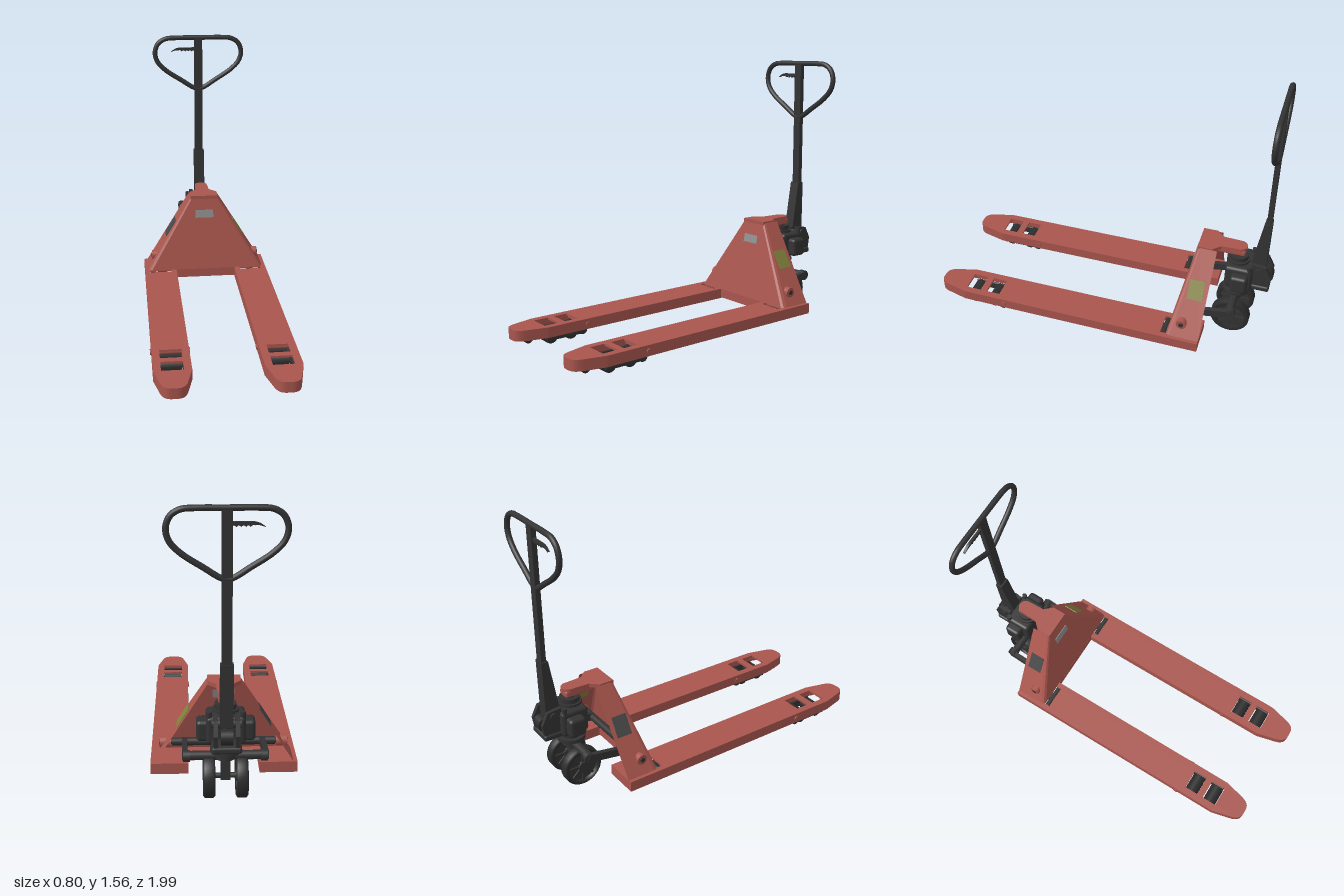
import * as THREE from 'three';
import { RoundedBoxGeometry } from 'three/addons/geometries/RoundedBoxGeometry.js';

export function createModel() {
  const root = new THREE.Group();
  const mat = (name, color, side = THREE.FrontSide) => {
    const m = new THREE.MeshStandardMaterial({ color, side });
    m.name = name;
    return m;
  };
  const red = mat('redPaint', 0xa8554d, THREE.DoubleSide);
  const black = mat('blackSteel', 0x333333);
  const rubber = mat('wheelBlack', 0x2c2c2c);
  const grey = mat('greyLabel', 0x8c8c8c);
  const olive = mat('oliveLabel', 0x80803c);
  const slate = mat('slateLabel', 0x474747);

  const add = (name, geo, m, x = 0, y = 0, z = 0, parent = root) => {
    const mesh = new THREE.Mesh(geo, m);
    mesh.name = name;
    mesh.position.set(x, y, z);
    parent.add(mesh);
    return mesh;
  };
  const box = (w, h, d) => new THREE.BoxGeometry(w, h, d);
  const cyl = (r, h, r2 = r) => new THREE.CylinderGeometry(r, r2, h, 24);
  const axle = (r, len) => cyl(r, len).rotateZ(Math.PI / 2);
  // bar of rectangular section between two points of the same x
  const bar = (name, x, y0, z0, y1, z1, w, h, m) => {
    const b = add(name, box(w, h, Math.hypot(y1 - y0, z1 - z0)), m, x, (y0 + y1) / 2, (z0 + z1) / 2);
    b.rotation.x = -Math.atan2(y1 - y0, z1 - z0);
    return b;
  };
  // horizontal plate: shape y becomes z, hangs down from its top
  const plate = (shape, depth) =>
    new THREE.ExtrudeGeometry(shape, { depth, bevelEnabled: false, curveSegments: 12 }).rotateX(Math.PI / 2);
  // side profile given as [z, y] pairs, extruded along x and centred
  const profile = (pts, width) =>
    new THREE.ExtrudeGeometry(new THREE.Shape(pts.map(([z, y]) => new THREE.Vector2(-z, y))),
      { depth: width, bevelEnabled: false }).translate(0, 0, -width / 2).rotateY(Math.PI / 2);

  // Forks: open channels with a tapered rounded tip
  const outline = (C, i) => {
    const s = new C(), w = 0.102 - i, t = 0.997 - i;
    s.moveTo(-w, -0.645 + i);
    s.lineTo(w, -0.645 + i);
    s.lineTo(w, 0.82);
    s.lineTo(0.073 - i, 0.935);
    s.bezierCurveTo(0.058 - i, t, 0.03, t, 0, t);
    s.bezierCurveTo(-0.03, t, -0.058 + i, t, -0.073 + i, 0.935);
    s.lineTo(-w, 0.82);
    s.closePath();
    return s;
  };
  const slot = (w, z0, z1) => new THREE.Path([[-w, z0], [-w, z1], [w, z1], [w, z0]].map(p => new THREE.Vector2(...p)));
  const top = outline(THREE.Shape, 0);
  top.holes.push(slot(0.06, 0.605, 0.69), slot(0.06, 0.73, 0.82), slot(0.068, -0.452, -0.418));
  const wall = outline(THREE.Shape, 0);
  wall.holes.push(outline(THREE.Path, 0.01));
  const topGeo = plate(top, 0.012), wallGeo = plate(wall, 0.05);

  for (const s of [1, -1]) {
    const fork = new THREE.Group();
    fork.name = s > 0 ? 'leftFork' : 'rightFork';
    fork.position.x = s * 0.292;
    root.add(fork);
    const f = (n, g, m, x, y, z) => add(n, g, m, x, y, z, fork);
    f('forkTop', topGeo, red, 0, 0.119, 0);
    f('forkWalls', wallGeo, red, 0, 0.108, 0);
    f('pushRod', box(0.075, 0.028, 0.98), black, 0, 0.078, 0.07);
    f('crankPin', axle(0.016, 0.14), black, 0, 0.095, -0.435);
    f('crankArm', box(0.04, 0.045, 0.09), black, 0, 0.085, -0.44);
    f('pivotPin', axle(0.016, 0.218), red, 0, 0.085, 0.56);
    // Load rollers with their carrier
    for (const z of [0.645, 0.775]) {
      f('loadRoller', axle(0.041, 0.112), rubber, 0, 0.046, z);
      f('rollerPin', axle(0.014, 0.155), black, 0, 0.046, z);
    }
    for (const x of [-0.068, 0.068]) {
      f('rollerCarrier', new RoundedBoxGeometry(0.014, 0.05, 0.25, 2, 0.007), black, x, 0.052, 0.69);
      f('linkEar', axle(0.028, 0.018), black, x, 0.052, 0.58);
    }
    f('carrierBridge', box(0.12, 0.03, 0.1), black, 0, 0.06, 0.55);
    f('entryRoller', axle(0.026, 0.1), rubber, 0, 0.06, 0.915);
    f('entryPin', axle(0.012, 0.14), black, 0, 0.06, 0.915);
  }

  // Tower: cross-section lofted from base to top, open at the back
  const half = (w, zb, zf, r) => [[w, zb], [w, zf - r], [w - r * 0.3, zf - r * 0.3], [w - r, zf]];
  const ring = (w, zb, zf, r, y) => {
    const h = half(w, zb, zf, r);
    return [...h, ...h.map(([x, z]) => [-x, z]).reverse()].map(([x, z]) => [x, y, z]);
  };
  const lo = ring(0.375, -0.645, -0.45, 0.025, 0.115);
  const hi = ring(0.088, -0.665, -0.553, 0.015, 0.578);
  const verts = [];
  for (let i = 0; i < lo.length - 1; i++) {
    const a = lo[i], b = lo[i + 1], c = hi[i + 1], d = hi[i];
    verts.push(...a, ...c, ...b, ...a, ...d, ...c);
  }
  const shell = new THREE.BufferGeometry();
  shell.setAttribute('position', new THREE.Float32BufferAttribute(verts, 3));
  shell.computeVertexNormals();
  add('towerShell', shell, red);
  add('crossBeam', box(0.4, 0.055, 0.05), red, 0, 0.09, -0.475);

  // Tower cap running back into the lift arm
  const cap = new THREE.Shape();
  cap.moveTo(-0.088, -0.55);
  cap.lineTo(-0.088, -0.635);
  cap.lineTo(-0.045, -0.68);
  cap.lineTo(-0.04, -0.785);
  cap.absarc(0, -0.785, 0.04, Math.PI, Math.PI * 2, false);
  cap.lineTo(0.045, -0.68);
  cap.lineTo(0.088, -0.635);
  cap.lineTo(0.088, -0.55);
  add('towerCap', plate(cap, 0.022), red, 0, 0.586, 0);
  add('liftArm', new RoundedBoxGeometry(0.075, 0.04, 0.17, 2, 0.012), red, 0, 0.552, -0.735);

  // Labels lying on the slanted tower faces
  add('frontLabel', box(0.116, 0.05, 0.006), grey, 0, 0.471, -0.5275).rotation.x = -Math.atan(0.2225);
  for (const s of [1, -1]) {
    add('sideLabel', box(0.006, 0.118, 0.09), s > 0 ? olive : slate, s * 0.2175, 0.37, -0.585)
      .rotation.z = s * Math.atan(0.62);
    // Pivot bosses and the arms leading back to the wheel carriage
    add('pivotBoss', axle(0.03, 0.06), red, s * 0.315, 0.195, -0.535);
    add('pivotBolt', axle(0.014, 0.068), black, s * 0.315, 0.195, -0.535);
    bar('pullArm', s * 0.21, 0.195, -0.535, 0.238, -0.8, 0.028, 0.045, black);
    add('armEye', axle(0.03, 0.035), black, s * 0.2, 0.235, -0.79);
  }
  add('torqueShaft', axle(0.022, 0.56), black, 0, 0.195, -0.535);
  add('carriageBar', axle(0.024, 0.4), black, 0, 0.235, -0.785);

  // Steering wheels
  const tyre = new THREE.LatheGeometry([[0.088, -0.026], [0.105, -0.031], [0.115, -0.022], [0.115, 0.022],
    [0.105, 0.031], [0.088, 0.026], [0.088, -0.026]].map(p => new THREE.Vector2(...p)), 40).rotateZ(Math.PI / 2);
  for (const x of [-0.085, 0.085]) {
    const wheel = new THREE.Group();
    wheel.name = 'steerWheel';
    wheel.position.set(x, 0.116, -0.778);
    root.add(wheel);
    add('tyre', tyre, rubber, 0, 0, 0, wheel);
    add('wheelDisc', axle(0.09, 0.024), black, 0, 0, 0, wheel);
    add('hub', axle(0.03, 0.064), black, 0, 0, 0, wheel);
    for (let i = 0; i < 4; i++)
      add('spoke', box(0.044, 0.176, 0.012), black, 0, 0, 0, wheel).rotation.x = i * Math.PI / 4;
  }
  add('wheelAxle', axle(0.014, 0.2), black, 0, 0.116, -0.778);
  add('wheelFork', box(0.05, 0.13, 0.05), black, 0, 0.165, -0.778);
  add('turntable', cyl(0.08, 0.022), black, 0, 0.27, -0.785);
  add('turntableNeck', cyl(0.055, 0.12), black, 0, 0.285, -0.785);
  add('turntableRing', cyl(0.075, 0.015), black, 0, 0.308, -0.785);

  // Hydraulic pump
  add('pumpCylinder', cyl(0.068, 0.17), black, 0, 0.415, -0.782);
  add('pumpCollar', cyl(0.056, 0.03), black, 0, 0.512, -0.782);
  add('pumpRam', cyl(0.03, 0.06), black, 0, 0.52, -0.782);
  add('pumpBody', new RoundedBoxGeometry(0.2, 0.15, 0.16, 3, 0.02), black, 0, 0.41, -0.8);
  add('pumpSideTank', new RoundedBoxGeometry(0.3, 0.11, 0.1, 3, 0.02), black, 0, 0.4, -0.81);
  add('pumpBase', new RoundedBoxGeometry(0.15, 0.035, 0.24, 2, 0.012), black, 0, 0.35, -0.86);
  for (const s of [1, -1]) {
    add('handleBracket', profile([[-0.86, 0.34], [-0.97, 0.34], [-0.985, 0.43], [-0.95, 0.5], [-0.87, 0.51]], 0.022),
      black, s * 0.055, 0, 0);
    add('valve', cyl(0.014, 0.1), black, s * 0.085, 0.46, -0.86);
  }
  add('plunger', cyl(0.022, 0.12), black, 0, 0.41, -0.91);
  add('pumpRoller', axle(0.04, 0.06), rubber, 0, 0.415, -0.953);
  add('handlePivot', axle(0.022, 0.15), black, 0, 0.47, -0.915);

  // Drawbar and handle loop
  add('drawbarSleeve', profile([[-0.862, 0.5], [-0.945, 0.46], [-0.948, 0.79], [-0.908, 0.79]], 0.066), black);
  add('drawbar', box(0.052, 0.78, 0.028), black, 0, 1.16, -0.93);
  const side = [[0.02, 1.215], [0.115, 1.272], [0.215, 1.338], [0.268, 1.395], [0.283, 1.455],
    [0.262, 1.513], [0.215, 1.543], [0.15, 1.549]];
  const loop = [...side, [0, 1.549], ...side.map(([x, y]) => [-x, y]).reverse()];
  const curve = new THREE.CatmullRomCurve3(loop.map(([x, y]) => new THREE.Vector3(x, y, 0)), true);
  add('handleLoop', new THREE.TubeGeometry(curve, 96, 0.0155, 12, true), black, 0, 0, -0.93);

  // Release lever with finger scallops
  const lever = new THREE.Shape();
  lever.moveTo(-0.02, 1.485);
  lever.lineTo(-0.12, 1.485);
  lever.quadraticCurveTo(-0.155, 1.482, -0.178, 1.458);
  lever.quadraticCurveTo(-0.15, 1.472, -0.13, 1.468);
  for (let i = 1; i <= 5; i++) {
    const x = -0.13 + i * 0.022;
    lever.quadraticCurveTo(x - 0.011, 1.474, x, 1.46);
  }
  add('releaseLever', new THREE.ExtrudeGeometry(lever, { depth: 0.014, bevelEnabled: false }), black, 0, 0, -0.937);

  return root;
}
